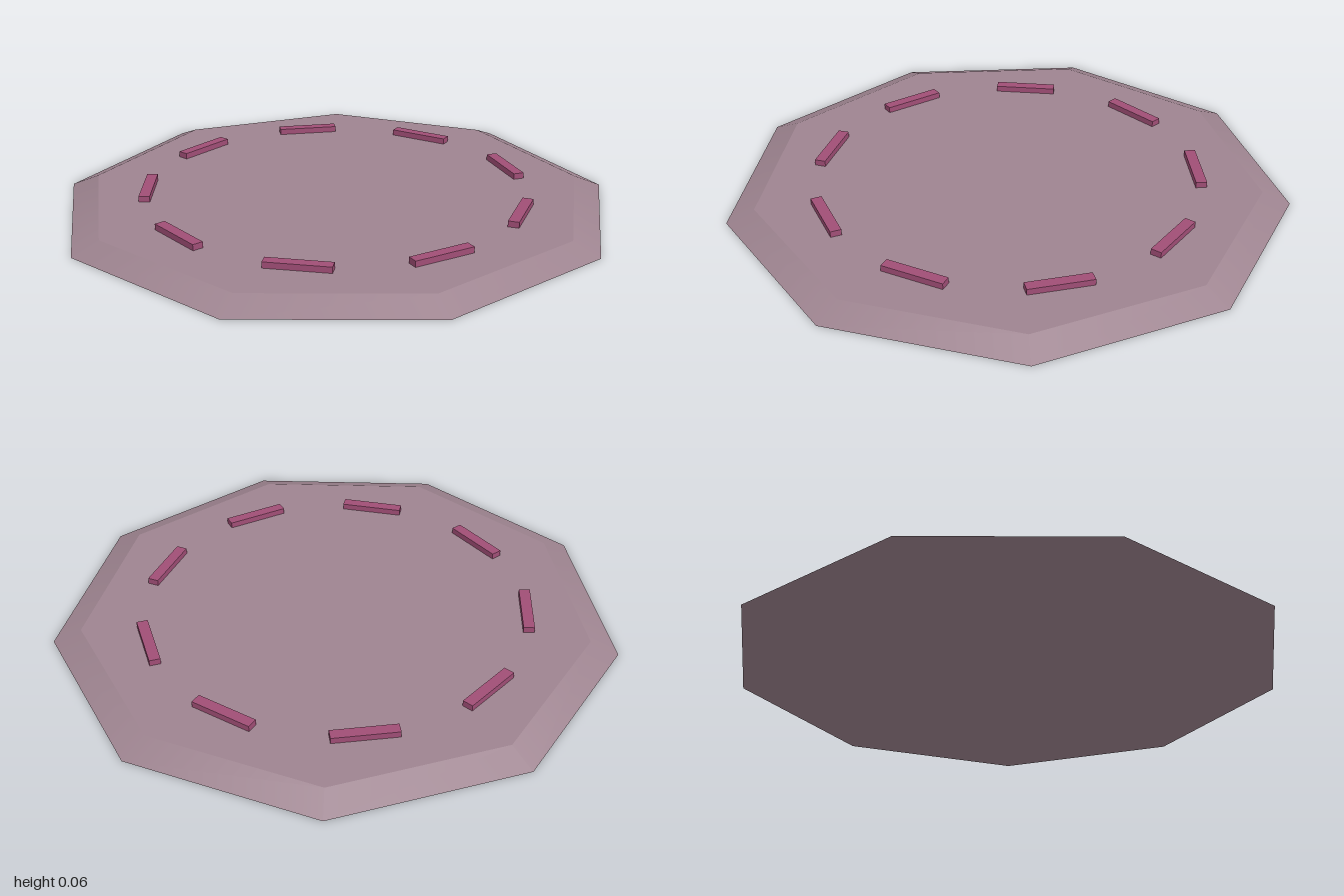
import * as THREE from 'three';

export function createModel() {
  const group = new THREE.Group();
  const centreZ = -0.031; // nine-sided plate: the pivot sits slightly behind the middle
  const sides = 9;

  // Bevelled nine-sided base plate, one corner pointing to the front
  const plateHeight = 0.042;
  const plate = new THREE.Mesh(
    new THREE.CylinderGeometry(0.915, 1.0154, plateHeight, sides),
    new THREE.MeshStandardMaterial({ color: 0x9e8490 })
  );
  plate.name = 'basePlate';
  plate.position.set(0, plateHeight / 2, centreZ);
  group.add(plate);

  // Ring of raised bars, each tangent to the circle
  const barTop = 0.064;
  const barBottom = 0.03;
  const barGeometry = new THREE.BoxGeometry(0.04, barTop - barBottom, 0.23);
  const barMaterial = new THREE.MeshStandardMaterial({ color: 0xa04e76 });
  const ring = new THREE.Group();
  ring.name = 'barRing';
  ring.position.set(0, (barTop + barBottom) / 2, centreZ);
  for (let i = 0; i < sides; i++) {
    const angle = (i / sides) * Math.PI * 2;
    const bar = new THREE.Mesh(barGeometry, barMaterial);
    bar.name = `raisedBar${i + 1}`;
    bar.position.set(0.688 * Math.cos(angle), 0, -0.688 * Math.sin(angle));
    bar.rotation.y = angle;
    ring.add(bar);
  }
  group.add(ring);

  return group;
}
